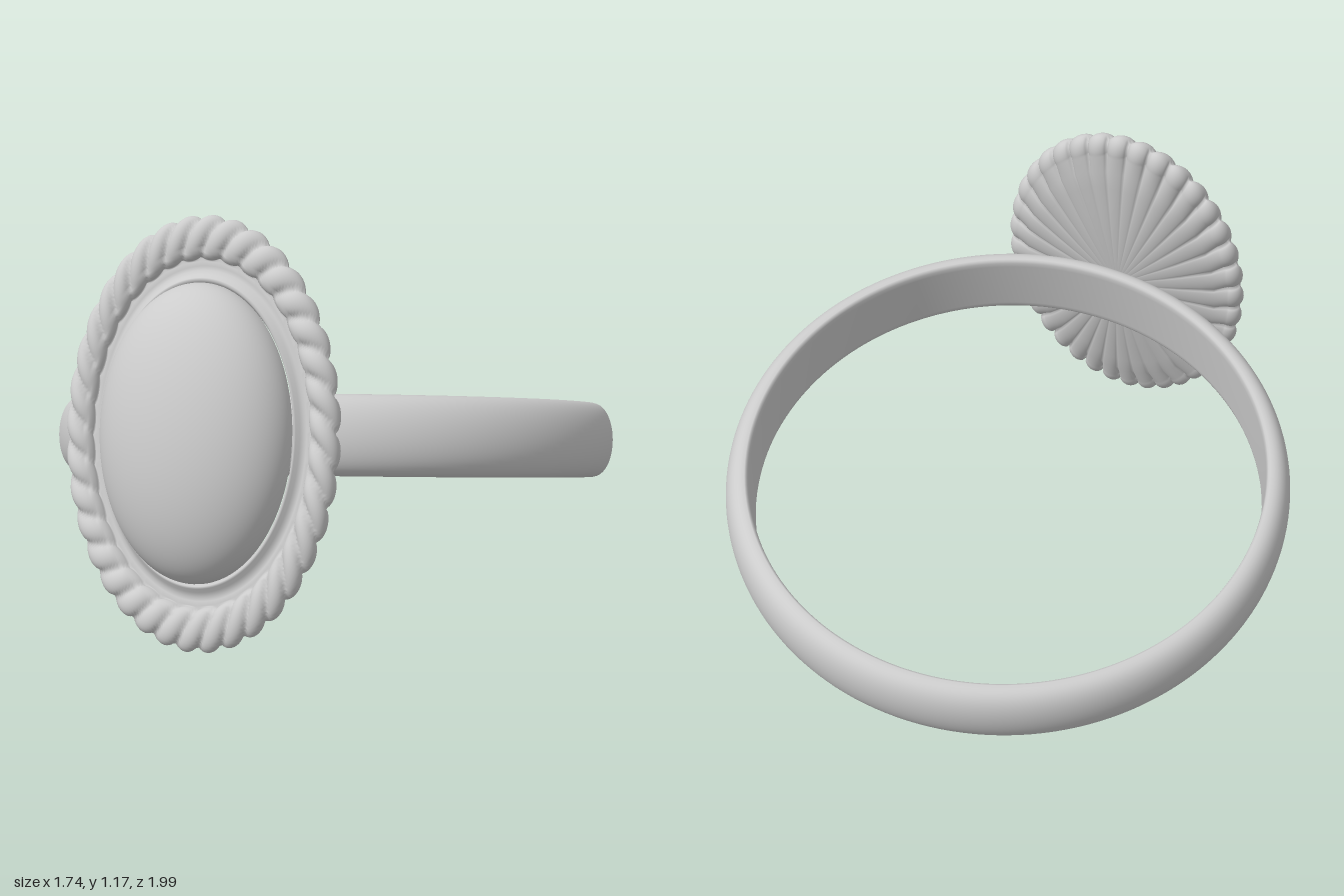
import * as THREE from 'three';

const HALF_W = 0.42, HALF_H = 0.605; // outer size of the oval setting
const STRANDS = 36, SEGMENTS = STRANDS * 12;

// Finger band: flat inside, domed outside
function makeBand(material) {
  const points = [];
  for (let i = 0; i <= 24; i++) {
    const t = -Math.PI / 2 + (Math.PI * i) / 24;
    points.push(new THREE.Vector2(0.803 + 0.069 * Math.pow(Math.max(0, Math.cos(t)), 0.85), 0.115 * Math.sin(t)));
  }
  points.push(new THREE.Vector2(0.797, 0.112), new THREE.Vector2(0.794, 0.104), new THREE.Vector2(0.792, 0.09));
  points.push(new THREE.Vector2(0.792, -0.09), new THREE.Vector2(0.794, -0.104), new THREE.Vector2(0.797, -0.112));
  points.push(points[0].clone());
  const band = new THREE.Mesh(new THREE.LatheGeometry(points, 160), material);
  band.name = 'band';
  return band;
}

// Rings of the setting, from the centre of its back, round the rope edge, to the stone's seat.
// Each ring: scale of the oval, depth z, ripple direction (ds, dz) and ripple phase.
function settingRings() {
  const rings = [];
  for (const s of [0, 0.2, 0.4, 0.55, 0.7, 0.8]) {
    rings.push({ s, z: 0.872 + 0.036 * s * s, ds: 0, dz: 0.014 * s * s, phase: 0 });
  }
  for (let i = 0; i <= 26; i++) {
    const t = -Math.PI / 2 + (Math.PI * 1.5 * i) / 26;
    const fade = t > 2.4 ? 0.5 : 1;
    rings.push({
      s: 0.895 + 0.105 * Math.cos(t),
      z: 0.945 + 0.04 * Math.sin(t),
      ds: -0.045 * Math.cos(t) * fade,
      dz: -0.024 * Math.sin(t) * fade,
      phase: -2.2 * Math.max(0, t),
    });
  }
  // Smooth channel and raised lip around the stone
  for (const [s, z] of [[0.785, 0.95], [0.765, 0.946], [0.745, 0.947], [0.725, 0.954], [0.708, 0.965], [0.697, 0.968], [0.685, 0.96], [0.67, 0.94]]) {
    rings.push({ s, z, ds: 0, dz: 0, phase: 0 });
  }
  return rings;
}

function makeSetting(material) {
  const rings = settingRings();
  const positions = [], index = [];
  for (const { s, z, ds, dz, phase } of rings) {
    for (let j = 0; j < SEGMENTS; j++) {
      const a = (j / SEGMENTS) * Math.PI * 2;
      const groove = 1 - Math.sqrt(Math.abs(Math.sin((STRANDS * a + phase) / 2)));
      const scale = s + ds * groove;
      positions.push(HALF_W * scale * Math.cos(a), HALF_H * scale * Math.sin(a), z + dz * groove);
    }
  }
  for (let i = 0; i < rings.length - 1; i++) {
    for (let j = 0; j < SEGMENTS; j++) {
      const k = (j + 1) % SEGMENTS;
      const a = i * SEGMENTS + j, b = i * SEGMENTS + k;
      const c = a + SEGMENTS, d = b + SEGMENTS;
      index.push(a, b, c, b, d, c);
    }
  }
  const geometry = new THREE.BufferGeometry();
  geometry.setAttribute('position', new THREE.Float32BufferAttribute(positions, 3));
  geometry.setIndex(index);
  geometry.computeVertexNormals();
  // One shared normal at the centre of the back
  for (let j = 0; j < SEGMENTS; j++) geometry.attributes.normal.setXYZ(j, 0, 0, -1);
  const setting = new THREE.Mesh(geometry, material);
  setting.name = 'ropeEdgedSetting';
  return setting;
}

// Oval domed stone
function makeStone(material) {
  const geometry = new THREE.SphereGeometry(1, 96, 32, 0, Math.PI * 2, 0, Math.PI / 2);
  geometry.rotateX(Math.PI / 2);
  geometry.scale(0.288, 0.415, 0.187);
  const stone = new THREE.Mesh(geometry, material);
  stone.position.z = 0.966;
  stone.name = 'stone';
  return stone;
}

export function createModel() {
  const material = new THREE.MeshStandardMaterial({ color: 0xcccccc });
  const ring = new THREE.Group();
  ring.name = 'ring';
  ring.add(makeBand(material), makeSetting(material), makeStone(material));
  // The ring rests on the back of its band and the foot of its setting
  ring.rotation.set(THREE.MathUtils.degToRad(-15), 0, THREE.MathUtils.degToRad(6));
  ring.position.set(0, 0.345, -0.145);

  const model = new THREE.Group();
  model.name = 'model';
  model.add(ring);
  return model;
}
